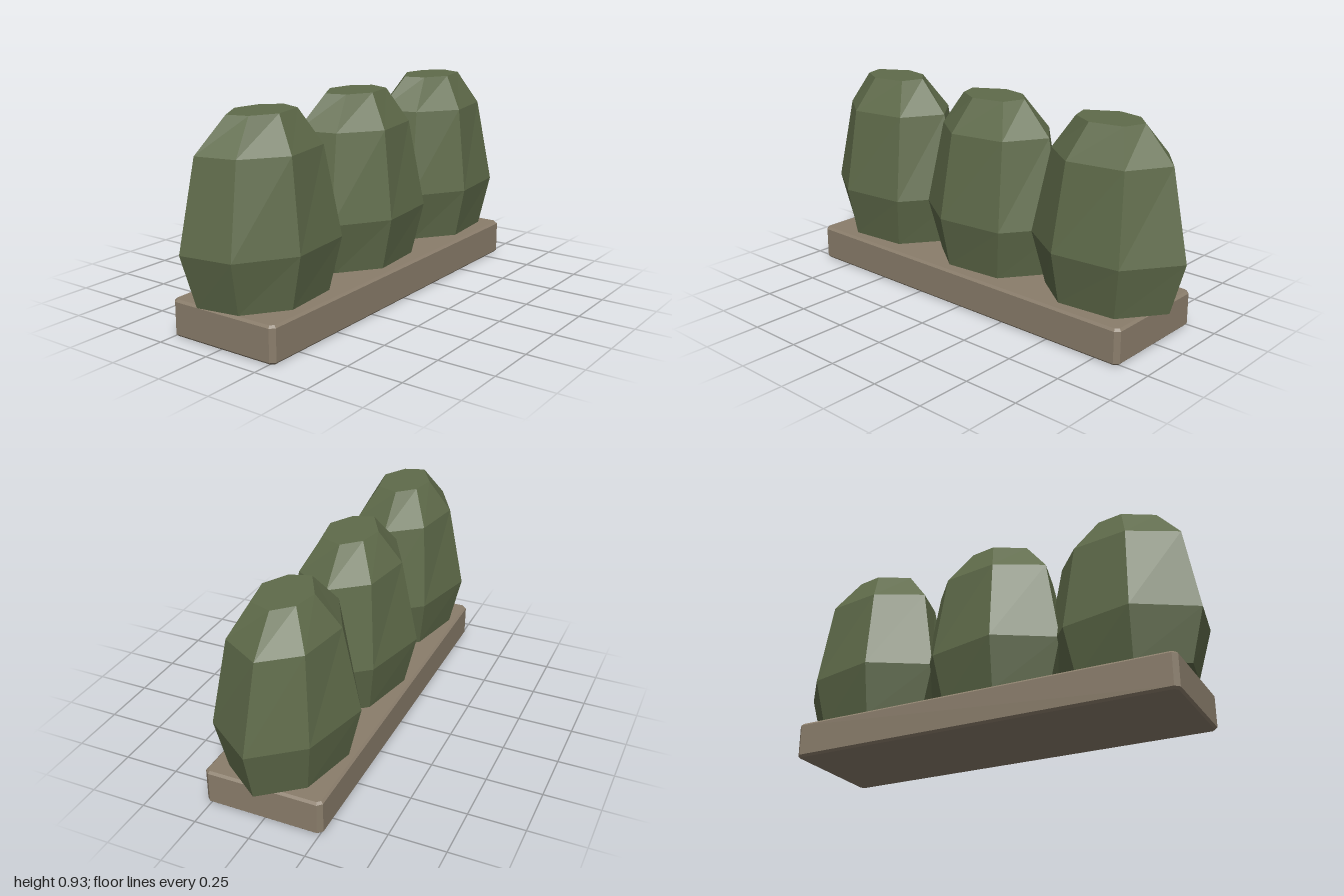
import * as THREE from 'three';

// Cross-sections of one faceted bush: height, then [x, z] corners,
// counter-clockwise from +x as seen from above.
const RINGS = [
  { y: 0.16, pts: [[0.33, 0.008], [0.19, -0.165], [-0.08, -0.225], [-0.285, -0.1], [-0.253, 0.09], [-0.078, 0.22], [0.19, 0.197]] },
  { y: 0.39, pts: [[0.395, 0.005], [0.23, -0.198], [-0.092, -0.276], [-0.35, -0.12], [-0.313, 0.115], [-0.083, 0.267], [0.23, 0.235]] },
  { y: 0.775, pts: [[0.303, -0.012], [0.18, -0.163], [-0.07, -0.203], [-0.28, -0.09], [-0.235, 0.085], [-0.06, 0.213], [0.195, 0.17]] },
  { y: 0.925, pts: [[0.165, -0.01], [0.09, -0.085], [-0.025, -0.107], [-0.16, -0.03], [-0.13, 0.06], [-0.02, 0.12], [0.13, 0.09]] },
];

// Skin the rings with flat facets and close both ends.
function bushGeometry() {
  const n = RINGS[0].pts.length;
  const top = RINGS.length - 1;
  const positions = [];
  const index = [];
  for (const { y, pts } of RINGS) for (const [x, z] of pts) positions.push(x, y, z);
  for (let r = 0; r < top; r++) {
    for (let i = 0; i < n; i++) {
      const j = (i + 1) % n;
      const a = r * n + i, b = r * n + j, c = a + n, d = b + n;
      index.push(a, b, d, a, d, c);
    }
  }
  for (let i = 1; i < n - 1; i++) {
    index.push(top * n, top * n + i, top * n + i + 1);
    index.push(0, i + 1, i);
  }
  const geometry = new THREE.BufferGeometry();
  geometry.setAttribute('position', new THREE.Float32BufferAttribute(positions, 3));
  geometry.setIndex(index);
  const flat = geometry.toNonIndexed();
  flat.computeVertexNormals();
  return flat;
}

// Slab with clipped corners and a small bevel on its top and bottom edges.
function baseGeometry(width, height, depth, clip, bevel) {
  const w = width / 2, d = depth / 2;
  const shape = new THREE.Shape([
    [w - clip, -d], [w, -d + clip], [w, d - clip], [w - clip, d],
    [-w + clip, d], [-w, d - clip], [-w, -d + clip], [-w + clip, -d],
  ].map(([x, y]) => new THREE.Vector2(x, y)));
  const geometry = new THREE.ExtrudeGeometry(shape, {
    depth: height - 2 * bevel, bevelEnabled: true, bevelSegments: 1,
    bevelSize: bevel, bevelThickness: bevel, bevelOffset: -bevel,
  });
  geometry.translate(0, 0, bevel);
  geometry.rotateX(-Math.PI / 2);
  return geometry;
}

export function createModel() {
  const model = new THREE.Group();
  model.name = 'hedgePlanter';

  const leafMaterial = new THREE.MeshStandardMaterial({ color: 0x5f6b4a, flatShading: true });
  const baseMaterial = new THREE.MeshStandardMaterial({ color: 0x8a7d6b, flatShading: true });
  const centreX = -0.025;

  // Stone base
  const base = new THREE.Mesh(baseGeometry(1.79, 0.16, 0.535, 0.02, 0.01), baseMaterial);
  base.name = 'base';
  base.position.set(centreX, 0, 0.0075);
  model.add(base);

  // Row of three matching bushes
  const bush = bushGeometry();
  ['rightBush', 'middleBush', 'leftBush'].forEach((name, i) => {
    const mesh = new THREE.Mesh(bush, leafMaterial);
    mesh.name = name;
    mesh.position.x = centreX + (i - 1) * 0.628;
    model.add(mesh);
  });

  return model;
}
